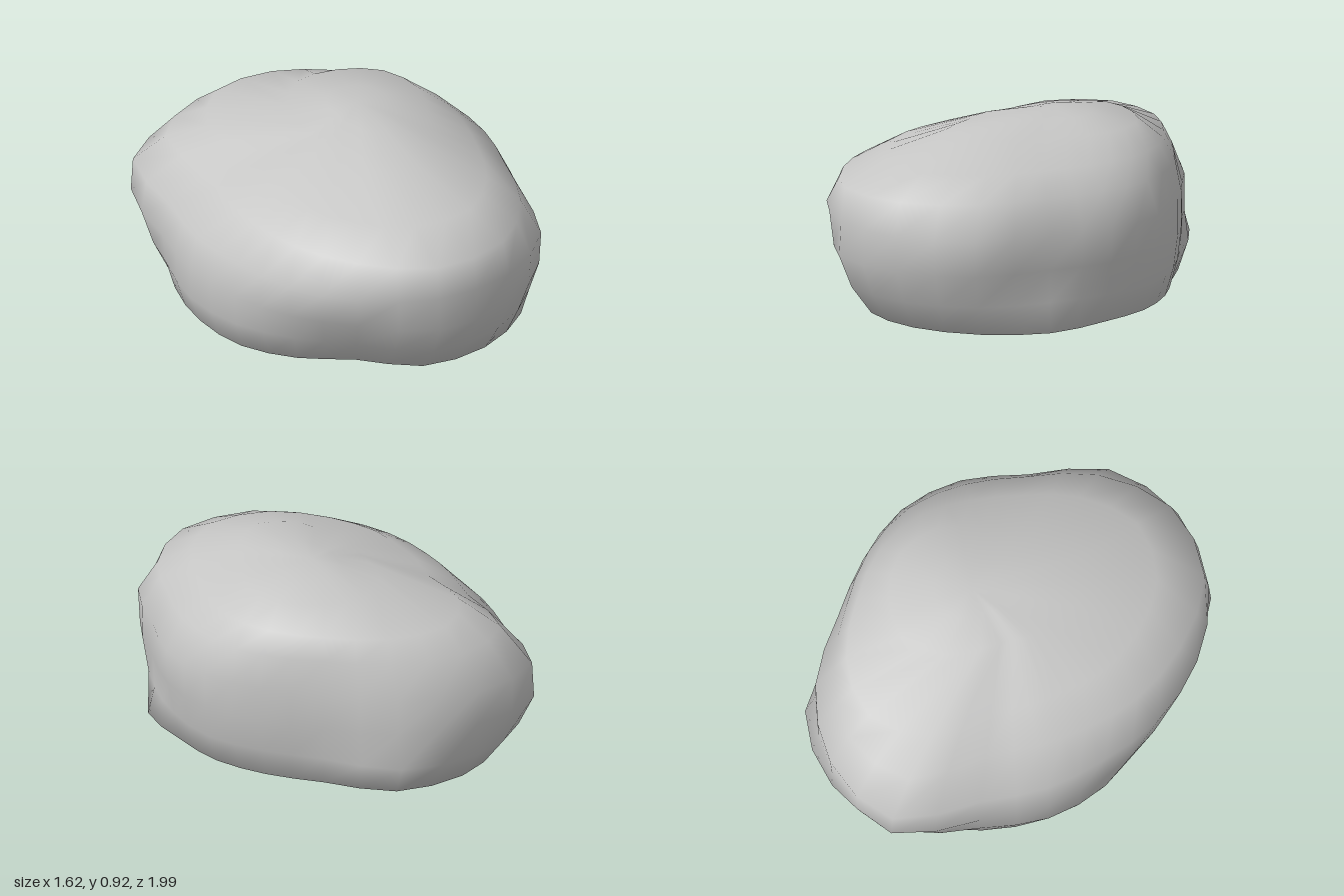
import * as THREE from 'three';

// Horizontal slices of the boulder: height, then radii at 16 even
// directions running from +x towards +z.
const SLICES = [
  [0.00, [.66, .72, .74, .74, .70, .60, .61, .65, .70, .74, .76, .80, .78, .66, .64, .64]],
  [0.03, [.74, .84, .87, .87, .82, .68, .70, .74, .76, .80, .87, .92, .90, .74, .71, .72]],
  [0.17, [.77, .81, .91, .95, .93, .77, .75, .78, .81, .84, .98, 1.02, .97, .78, .75, .77]],
  [0.33, [.80, .82, .96, 1.01, 1.0, .86, .81, .79, .81, .86, 1.06, 1.02, .92, .79, .77, .79]],
  [0.50, [.81, .82, .97, 1.02, .99, .91, .83, .77, .78, .83, 1.05, 1.03, .92, .79, .77, .80]],
  [0.66, [.73, .75, .87, .98, .97, .83, .72, .64, .62, .66, .89, .92, .83, .75, .74, .74]],
  [0.76, [.61, .62, .70, .78, .74, .62, .53, .46, .45, .47, .68, .80, .77, .70, .68, .65]],
  [0.86, [.43, .40, .44, .47, .39, .23, .18, .17, .15, .16, .22, .36, .50, .55, .57, .52]],
];
const SIDES = 32;
const APEX = new THREE.Vector3(0.13, 0.92, -0.13);

// Smooth closed outline of one slice
function outline(y, radii) {
  const points = radii.map((r, i) => {
    const a = (i / radii.length) * Math.PI * 2;
    return new THREE.Vector3(r * Math.cos(a), y, r * Math.sin(a));
  });
  const curve = new THREE.CatmullRomCurve3(points, true, 'catmullrom', 0.5);
  return Array.from({ length: SIDES }, (_, i) => curve.getPoint(i / SIDES));
}

// Copy of a ring drawn in towards a point
const shrink = (ring, centre, t, y) => ring.map((p) => p.clone().lerp(centre, t).setY(y));

function boulderGeometry() {
  const rings = SLICES.map(([y, radii]) => outline(y, radii));
  const baseCentre = new THREE.Vector3(0, 0, 0);
  rings.unshift(shrink(rings[0], baseCentre, 0.12, 0)); // flat base margin
  rings.push(shrink(rings[rings.length - 1], APEX, 0.55, 0.9)); // rounded crown

  const points = [...rings.flat(), baseCentre, APEX];
  const base = points.length - 2;
  const top = points.length - 1;
  const index = [];
  for (let i = 0; i < SIDES; i++) {
    const n = (i + 1) % SIDES;
    for (let j = 0; j < rings.length - 1; j++) {
      const a = j * SIDES + i, b = j * SIDES + n;
      index.push(a, a + SIDES, b, b, a + SIDES, b + SIDES);
    }
    const last = (rings.length - 1) * SIDES;
    index.push(base, i, n, top, last + n, last + i);
  }
  const geometry = new THREE.BufferGeometry().setFromPoints(points);
  geometry.setIndex(index);
  geometry.computeVertexNormals();
  return geometry;
}

export function createModel() {
  const stone = new THREE.MeshStandardMaterial({ color: 0xc6c6c5 });
  stone.name = 'stone grey';

  const boulder = new THREE.Mesh(boulderGeometry(), stone);
  boulder.name = 'boulder';

  const group = new THREE.Group();
  group.name = 'rock';
  group.add(boulder);
  return group;
}
